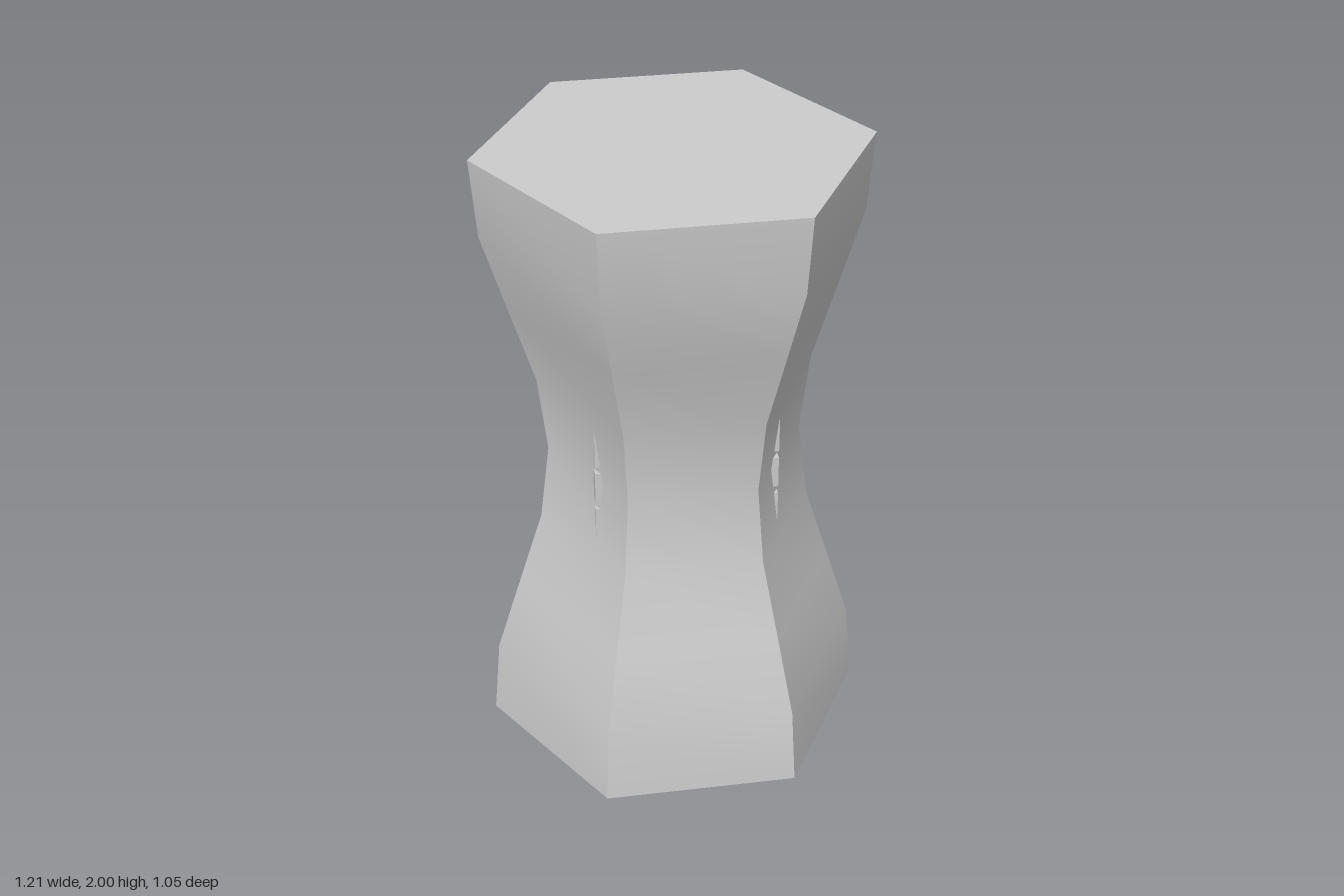
import * as THREE from 'three';
import { toCreasedNormals } from 'three/addons/utils/BufferGeometryUtils.js';

const material = new THREE.MeshStandardMaterial({ color: 0xcccccc });

function addMesh(parent, name, geometry) {
  const mesh = new THREE.Mesh(geometry, material);
  mesh.name = name;
  parent.add(mesh);
  return mesh;
}

// Box spanning -halfX..halfX, y0..y1 and z0..z1
function addBlock(parent, name, halfX, y0, y1, z0, z1) {
  const mesh = addMesh(parent, name, new THREE.BoxGeometry(2 * halfX, y1 - y0, z1 - z0));
  mesh.position.set(0, (y0 + y1) / 2, (z0 + z1) / 2);
  return mesh;
}

export function createModel() {
  const model = new THREE.Group();
  model.name = 'waistedPillar';

  // Six-sided body with a narrow waist, smooth along its height
  const profile = [
    [0, 0], [0.606, 0], [0.585, 0.25], [0.508, 0.5], [0.43, 0.75], [0.4, 1],
    [0.43, 1.25], [0.508, 1.5], [0.585, 1.75], [0.606, 2], [0, 2],
  ].map(([r, y]) => new THREE.Vector2(r, y));
  const body = new THREE.LatheGeometry(profile, 6, Math.PI / 2);
  addMesh(model, 'body', toCreasedNormals(body, Math.PI / 6));

  // Stacked blocks whose corners break through the slanted sides
  const stack = new THREE.Group();
  stack.name = 'innerStack';
  model.add(stack);
  const levels = [
    [0.55, 0.64], [0.67, 0.782], [0.802, 0.914], [0.938, 1.042],
    [1.066, 1.178], [1.202, 1.315],
  ];
  for (const [y0, y1] of levels) addBlock(stack, 'segment', 0.285, y0, y1, -0.344, 0.24);

  // Recessed core showing in the gaps
  addBlock(stack, 'core', 0.265, 0.6, 1.3, -0.33, 0.22);

  // Flared collar under the wider cap block
  const collar = addBlock(stack, 'collar', 0.305, 1.315, 1.355, -0.365, 0.24);
  const pos = collar.geometry.attributes.position;
  for (let i = 0; i < pos.count; i++) {
    if (pos.getY(i) > 0) continue;
    pos.setX(i, Math.sign(pos.getX(i)) * 0.285);
    if (pos.getZ(i) < 0) pos.setZ(i, pos.getZ(i) + 0.021);
  }
  collar.geometry.computeVertexNormals();
  addBlock(stack, 'capBlock', 0.305, 1.355, 1.51, -0.365, 0.24);

  return model;
}
